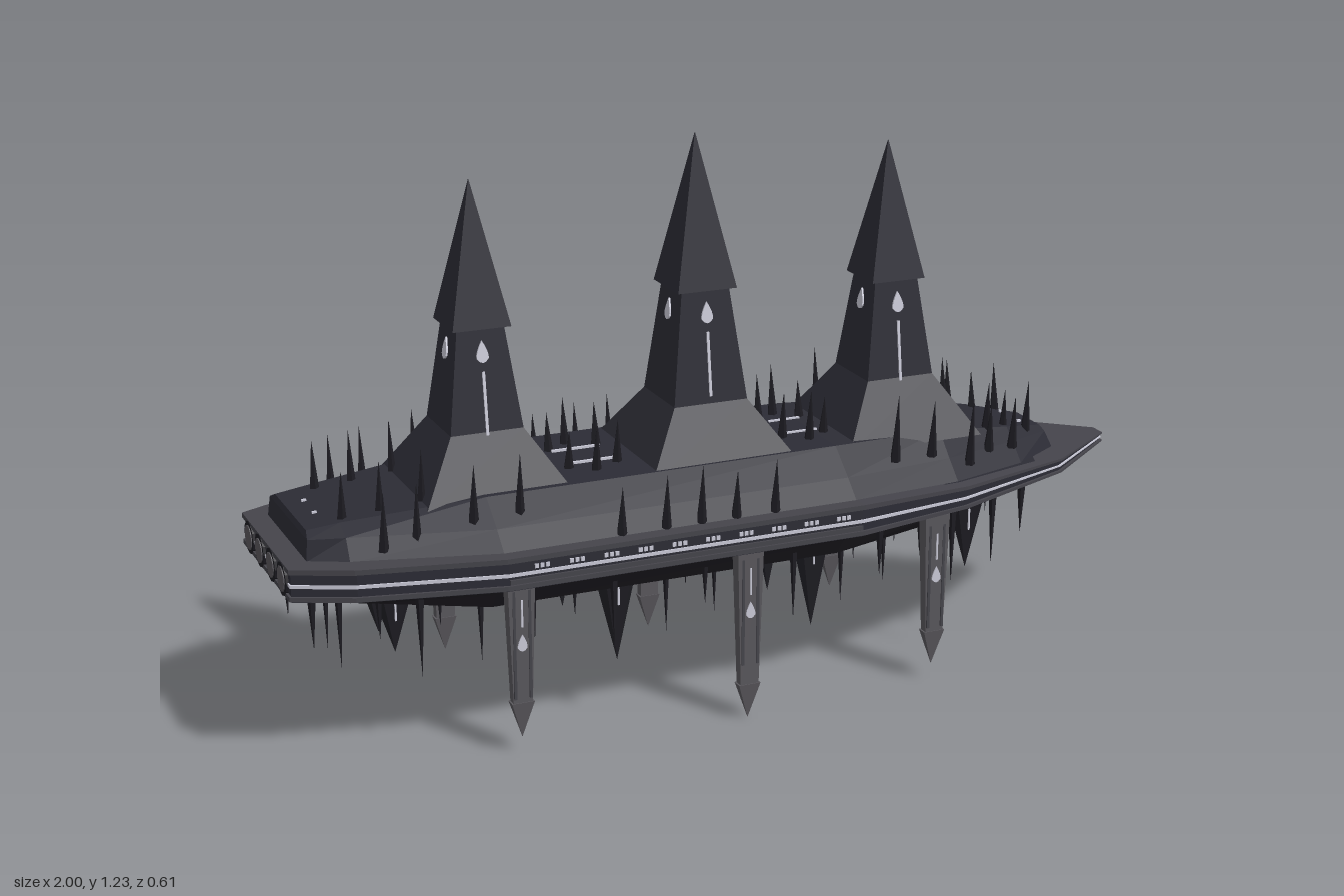
import * as THREE from 'three';

const paint = (name, color) => {
  const m = new THREE.MeshStandardMaterial({ color });
  m.name = name;
  return m;
};
const hullDark = paint('dark hull', 0x2c2c35);
const bellyDark = paint('belly black', 0x201e24);
const spikeDark = paint('spike black', 0x1d1c22);
const steel = paint('steel grey', 0x59575c);
const trim = paint('trim grey', 0x45444b);
const pale = paint('pale light', 0xc9c9d6);

const flat = (g) => {
  const f = g.index ? g.toNonIndexed() : g;
  f.computeVertexNormals();
  return f;
};

// Loft through stacked half outlines [x, y, z], mirrored over z
function loft(rings) {
  const pos = [];
  const quad = (a, b, c, d) => pos.push(...a, ...b, ...c, ...a, ...c, ...d);
  const mir = ([x, y, z]) => [x, y, -z];
  const full = rings.map((r) => [...r, ...[...r].reverse().map(mir)]);
  for (let k = 0; k + 1 < full.length; k++) {
    const a = full[k], b = full[k + 1];
    a.forEach((p, i) => {
      const j = (i + 1) % a.length;
      quad(p, a[j], b[j], b[i]);
    });
  }
  const bot = rings[0], top = rings[rings.length - 1];
  for (let i = 0; i + 1 < bot.length; i++) {
    quad(top[i], top[i + 1], mir(top[i + 1]), mir(top[i]));
    quad(mir(bot[i]), mir(bot[i + 1]), bot[i + 1], bot[i]);
  }
  const g = new THREE.BufferGeometry();
  g.setAttribute('position', new THREE.Float32BufferAttribute(pos, 3));
  g.computeVertexNormals();
  return g;
}

// Hull outline, grown or shrunk; heights pinch together towards the bow
const plan = [[-0.992, 0.18], [-0.87, 0.235], [-0.57, 0.3], [0.23, 0.3], [0.5, 0.262], [0.8, 0.158], [0.995, 0.015]];
const pinch = (x, y) => 0.423 + (y - 0.423) * (1 - 0.7 * Math.max(0, (x - 0.23) / 0.77));
const rim = (y, grow = 0) => plan.map(([x, z]) => [x + Math.sign(x) * grow, pinch(x, y), z + grow]);

// Four-sided tapering block, half widths at bottom and top
function taper(bottom, top, y0, y1) {
  const g = new THREE.CylinderGeometry(top * Math.SQRT2, bottom * Math.SQRT2, y1 - y0, 4);
  g.rotateY(Math.PI / 4).translate(0, (y0 + y1) / 2, 0);
  return flat(g);
}

// Teardrop window plate
function dropGeometry() {
  const s = new THREE.Shape();
  s.moveTo(0, 0.03);
  s.quadraticCurveTo(0.015, 0.004, 0.013, -0.008);
  s.quadraticCurveTo(0, -0.026, -0.013, -0.008);
  s.quadraticCurveTo(-0.015, 0.004, 0, 0.03);
  return new THREE.ExtrudeGeometry(s, { depth: 0.004, bevelEnabled: false, curveSegments: 4 });
}

export function createModel() {
  const root = new THREE.Group();
  root.name = 'spiredFortressShip';
  const add = (parent, name, geo, mat, x = 0, y = 0, z = 0) => {
    const m = new THREE.Mesh(geo, mat);
    m.name = name;
    m.position.set(x, y, z);
    parent.add(m);
    return m;
  };
  const box = (w, h, d) => new THREE.BoxGeometry(w, h, d);

  // Hull rim with trim lips and a light line
  add(root, 'hullRim', loft([rim(0.385), rim(0.455)]), hullDark);
  add(root, 'lowerLip', loft([rim(0.388, 0.005), rim(0.398, 0.005)]), trim);
  add(root, 'upperLip', loft([rim(0.446, 0.005), rim(0.457, 0.005)]), trim);
  add(root, 'lightLine', loft([rim(0.416, 0.003), rim(0.423, 0.003)]), pale);

  // Stepped upper deck
  const deckLow = [[-0.95, 0.455, 0.15], [-0.87, 0.455, 0.19], [-0.57, 0.456, 0.27], [0.23, 0.456, 0.27], [0.5, 0.449, 0.23], [0.7, 0.443, 0.16], [0.83, 0.438, 0.075]];
  const deckMid = [[-0.945, 0.5, 0.145], [-0.87, 0.5, 0.165], [-0.57, 0.495, 0.228], [0.23, 0.495, 0.228], [0.5, 0.49, 0.188], [0.7, 0.482, 0.12], [0.815, 0.475, 0.065]];
  const deckTop = [[-0.94, 0.512, 0.12], [-0.87, 0.52, 0.125], [-0.57, 0.545, 0.165], [0.23, 0.548, 0.165], [0.5, 0.54, 0.14], [0.7, 0.508, 0.09], [0.81, 0.486, 0.05]];
  add(root, 'upperDeck', loft([rim(0.456), deckLow, deckMid, deckTop]), hullDark);

  // Belly under the hull
  const bellyTop = [[-0.96, 0.386, 0.16], [-0.87, 0.386, 0.19], [-0.57, 0.386, 0.26], [0.23, 0.386, 0.26], [0.5, 0.39, 0.21], [0.7, 0.398, 0.14], [0.84, 0.405, 0.06]];
  const bellyMid = [[-0.94, 0.355, 0.12], [-0.86, 0.352, 0.15], [-0.57, 0.345, 0.21], [0.23, 0.345, 0.21], [0.5, 0.352, 0.165], [0.65, 0.358, 0.12], [0.76, 0.364, 0.06]];
  const bellyLow = [[-0.9, 0.345, 0.09], [-0.8, 0.33, 0.12], [-0.57, 0.307, 0.18], [0.23, 0.305, 0.18], [0.45, 0.315, 0.135], [0.6, 0.335, 0.09], [0.72, 0.352, 0.05]];
  add(root, 'belly', loft([bellyLow, bellyMid, bellyTop]), bellyDark);

  // Three spired towers with slits and teardrop windows
  const drop = dropGeometry();
  for (const [x, size, neck, tip] of [[-0.535, 0.94, 0.872, 1.175], [-0.03, 1, 0.9, 1.23], [0.43, 0.94, 0.872, 1.175]]) {
    const tower = new THREE.Group();
    tower.name = 'tower';
    tower.position.x = x;
    root.add(tower);
    const low = 0.085 * size, high = 0.055 * size, lean = Math.atan((low - high) / (neck - 0.655));
    add(tower, 'towerBase', taper(0.173 * size, low, 0.525, 0.655), hullDark);
    add(tower, 'towerShaft', taper(low, high, 0.655, neck), hullDark);
    add(tower, 'towerSpire', taper(0.068 * size, 0.0005, neck, tip), hullDark);
    for (let k = 0; k < 4; k++) {
      const face = new THREE.Group();
      face.name = 'towerWindows';
      face.rotation.y = (k * Math.PI) / 2;
      tower.add(face);
      const out = (y) => low - (y - 0.655) * Math.tan(lean);
      add(face, 'dropWindow', drop, pale, 0, neck - 0.055, out(neck - 0.055)).rotation.x = -lean;
      if (k % 2 === 0) {
        const y = neck - 0.16;
        add(face, 'slitWindow', box(0.006, 0.14, 0.006), pale, 0, y, out(y)).rotation.x = -lean;
      }
    }
  }

  const spike = flat(new THREE.ConeGeometry(1, 1, 5).translate(0, 0.5, 0));
  const addSpike = (name, x, y, z, r, h, thin = 1) => {
    const m = add(root, name, spike, spikeDark, x, y, z);
    m.scale.set(r, Math.abs(h), r * thin);
    if (h < 0) m.rotation.x = Math.PI;
    return m;
  };

  // Deck spikes: [z, base height, length, positions along x]
  const deckSpikes = [
    [0.262, 0.455, 0.11, [-0.31, -0.21, -0.13, -0.05, 0.04]],
    [0.197, 0.505, 0.13, [-0.61, -0.51, 0.36, 0.45]],
    [0.19, 0.47, 0.13, [-0.8, -0.73, 0.55]],
    [0.15, 0.48, 0.11, [0.62, 0.68]],
    [0.1, 0.505, 0.12, [-0.86, -0.78, -0.69, 0.64]],
    [0.07, 0.475, 0.12, [0.7, 0.76]],
    [0.062, 0.54, 0.09, [-0.35, -0.24, 0.15, 0.25]],
    [0.095, 0.54, 0.11, [-0.3, 0.2]],
  ];
  for (const side of [1, -1]) {
    for (const [z, y, len, xs] of deckSpikes) {
      xs.forEach((x, i) => {
        const s = addSpike('deckSpike', x, y, z * side, 0.012, len + 0.012 * (i % 3));
        s.rotation.x = side * 0.08;
      });
    }

    // Broad hanging blades
    for (const [x, z, tip] of [[-0.745, 0.06, 0.19], [-0.285, 0.165, 0.135], [0.2, 0.115, 0.115], [0.62, 0.06, 0.17]]) {
      addSpike('hangingBlade', x, 0.35, z * side, 0.055, tip - 0.35, 0.3);
      add(root, 'bladeLight', box(0.004, 0.05, 0.003), pale, x, 0.29, (z + 0.013) * side);
    }

    // Small belly spikes
    for (let i = 0; i < 25; i++) {
      const x = -0.93 + i * 0.07;
      const room = Math.min(1, (x + 1.25) / 0.6, (1.05 - x) / 0.7);
      const z = [0.19, 0.08, 0.14][i % 3] * room;
      addSpike('bellySpike', x, 0.37, z * side, 0.011, -(0.1 + 0.035 * ((i * 2) % 4)) - 0.03);
    }

    // Long side pylons with pointed feet
    for (const [x, z, tip] of [[-0.535, 0.255, 0.04], [-0.03, 0.28, 0.003], [0.43, 0.255, 0.04]]) {
      const pylon = new THREE.Group();
      pylon.name = 'pylon';
      pylon.position.set(x, 0, z * side);
      root.add(pylon);
      add(pylon, 'pylonShaft', taper(0.021, 0.03, tip + 0.075, 0.392), steel).scale.z = 0.5;
      const foot = add(pylon, 'pylonFoot', taper(0.0005, 0.025, tip, tip + 0.08), steel);
      foot.scale.z = 0.5;
      for (const s of [1, -1]) {
        add(pylon, 'pylonRib', box(0.006, 0.24, 0.006), trim, 0.017 * s, 0.25, 0.012 * side);
      }
      const d = add(pylon, 'pylonDrop', drop, pale, 0, 0.25, side * 0.012);
      d.scale.setScalar(0.8);
      if (side < 0) d.rotation.y = Math.PI;
      add(pylon, 'pylonLight', box(0.004, 0.06, 0.004), pale, 0, 0.32, 0.014 * side);
    }

    // Rim gallery with window groups
    add(root, 'gallery', box(0.8, 0.01, 0.008), trim, -0.17, 0.405, 0.301 * side);
    for (let i = 0; i < 10; i++) {
      for (const dx of [-0.012, 0, 0.012]) {
        add(root, 'rimWindow', box(0.008, 0.009, 0.006), pale, -0.5 + i * 0.076 + dx, 0.433, 0.3 * side);
      }
    }

    // Deck light strips, deck dots and belly dots
    for (const x of [-0.293, 0.205]) {
      add(root, 'deckLight', box(x < 0 ? 0.11 : 0.075, 0.005, 0.006), pale, x, 0.549, 0.045 * side);
    }
    add(root, 'deckDot', box(0.01, 0.005, 0.006), pale, -0.9, 0.518, 0.04 * side);
    add(root, 'deckDot', box(0.01, 0.005, 0.006), pale, 0.76, 0.499, 0.04 * side);
    for (let i = 0; i < 16; i++) {
      add(root, 'bellyDot', box(0.01, 0.004, 0.004), trim, -0.54 + i * 0.05, 0.306, 0.165 * side);
    }

    // Stern engines
    for (const z of [0.045, 0.13]) {
      const ring = flat(new THREE.CylinderGeometry(0.036, 0.036, 0.03, 12).rotateZ(Math.PI / 2));
      const disc = flat(new THREE.CylinderGeometry(0.027, 0.027, 0.004, 12).rotateZ(Math.PI / 2));
      add(root, 'engineRing', ring, spikeDark, -0.983, 0.42, z * side);
      add(root, 'engineDisc', disc, steel, -0.998, 0.42, z * side);
    }
  }
  return root;
}
